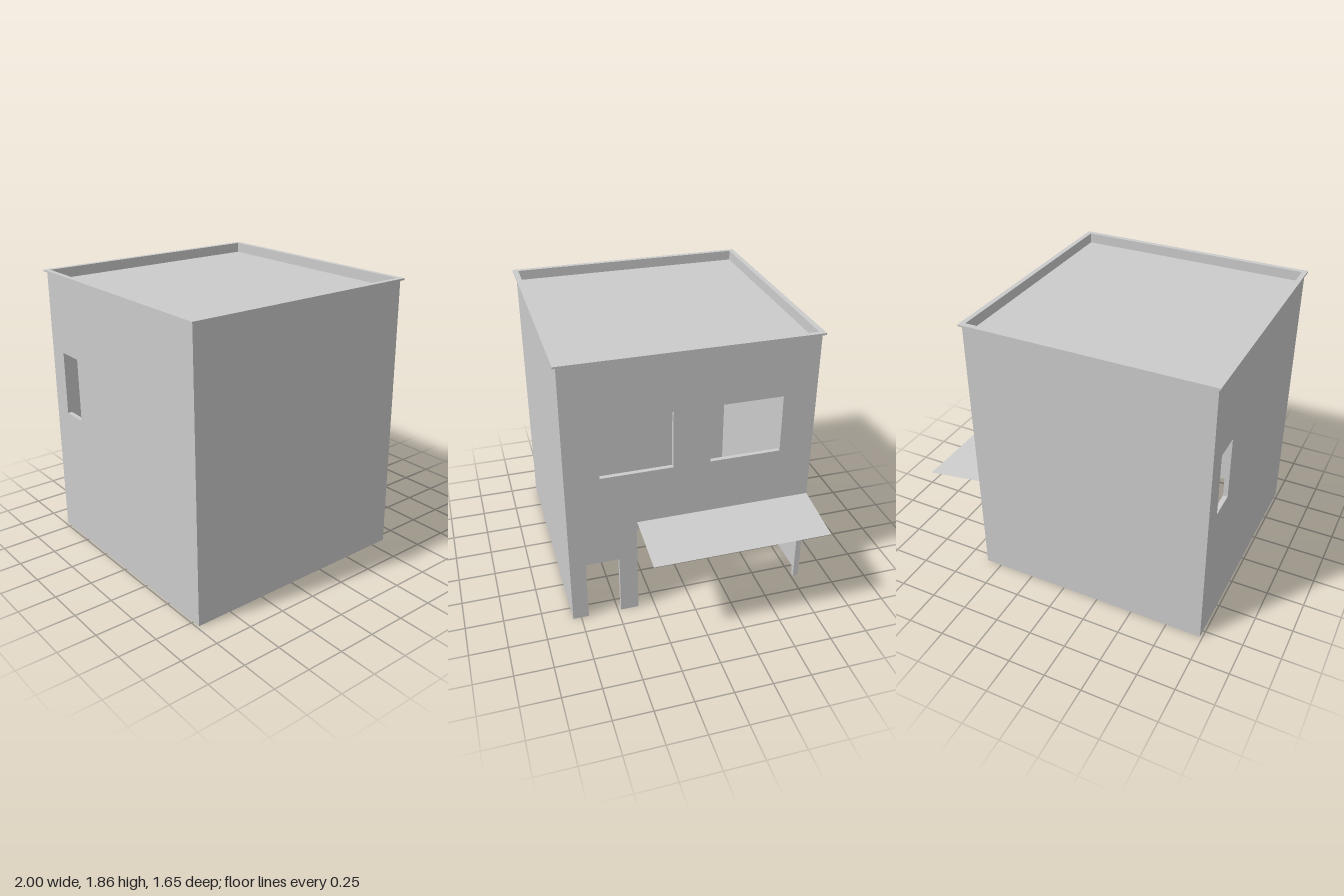
import * as THREE from 'three';

const material = new THREE.MeshStandardMaterial({ color: 0xcccccc, side: THREE.DoubleSide, flatShading: true });
const CX = -0.187, W = 1.594, D = 1.61; // building centre and footprint
const RIM_Y = 1.845, ROOF_Y = 1.79, REVEAL = 0.03;

function mesh(name, geometry) {
  const m = new THREE.Mesh(geometry, material);
  m.name = name;
  return m;
}

// Sheet swept along z from an outline of [x, y] points
function strip(points, z0, z1, closed) {
  const pos = [];
  const count = closed ? points.length : points.length - 1;
  for (let i = 0; i < count; i++) {
    const [ax, ay] = points[i];
    const [bx, by] = points[(i + 1) % points.length];
    pos.push(ax, ay, z0, bx, by, z0, bx, by, z1, ax, ay, z0, bx, by, z1, ax, ay, z1);
  }
  const g = new THREE.BufferGeometry();
  g.setAttribute('position', new THREE.Float32BufferAttribute(pos, 3));
  g.computeVertexNormals();
  return g;
}

function rectangle(u0, u1, v0, v1) {
  return [[u0, v0], [u0, v1], [u1, v1], [u1, v0]];
}

const toVectors = (points) => points.map(([x, y]) => new THREE.Vector2(x, y));

// Wall sheet facing local +z; doors notch the bottom edge, windows are holes
function wall(name, width, doors = [], windows = []) {
  const group = new THREE.Group();
  group.name = name;
  const h = width / 2;
  const outline = [[-h, 0]];
  for (const d of doors) outline.push(...rectangle(...d));
  outline.push([h, 0], [h, RIM_Y], [-h, RIM_Y]);
  const shape = new THREE.Shape(toVectors(outline));
  for (const w of windows) shape.holes.push(new THREE.Path(toVectors(rectangle(...w))));
  group.add(mesh('wallFace', new THREE.ShapeGeometry(shape)));
  for (const d of doors) group.add(mesh('doorReveal', strip(rectangle(...d), 0, -REVEAL, false)));
  for (const w of windows) group.add(mesh('windowReveal', strip(rectangle(...w), 0, -REVEAL, true)));
  return group;
}

export function createModel() {
  const model = new THREE.Group();
  model.name = 'building';

  // Four walls
  const front = wall('frontWall', W);
  front.position.set(CX, 0, D / 2);
  const back = wall('backWall', W);
  back.position.set(CX, 0, -D / 2);
  back.rotation.y = Math.PI;
  const entrance = wall('entranceWall', D,
    [[-0.70, -0.48, 0, 0.43], [-0.36, 0.767, 0, 0.642]],
    [[-0.585, -0.12, 1.07, 1.46], [0.12, 0.585, 1.07, 1.46]]);
  entrance.position.set(CX + W / 2, 0, 0);
  entrance.rotation.y = Math.PI / 2;
  const side = wall('sideWall', D, [], [[-0.665, -0.48, 0.90, 1.325]]);
  side.position.set(CX - W / 2, 0, 0);
  side.rotation.y = -Math.PI / 2;
  model.add(front, back, entrance, side);

  // Sunken flat roof
  const roof = mesh('roof', new THREE.PlaneGeometry(W, D));
  roof.rotation.x = -Math.PI / 2;
  roof.position.set(CX, ROOF_Y, 0);
  model.add(roof);

  // Parapet lining and overhanging rim
  const inner = rectangle(-0.78, 0.78, -0.79, 0.79);
  const parapet = mesh('parapetLining', strip(inner, ROOF_Y, RIM_Y, true));
  const rimShape = new THREE.Shape(toVectors(rectangle(-0.813, 0.813, -0.825, 0.825)));
  rimShape.holes.push(new THREE.Path(toVectors(inner)));
  const rim = mesh('roofRim', new THREE.ExtrudeGeometry(rimShape, { depth: 0.012, bevelEnabled: false }));
  rim.position.y = RIM_Y;
  for (const part of [parapet, rim]) {
    part.rotation.x = -Math.PI / 2;
    part.position.x = CX;
    model.add(part);
  }

  // Thin canopy sloping down and outward over the wide opening
  model.add(mesh('canopy', strip([[CX + W / 2, 0.70], [1.0, 0.642]], 0.357, -0.805, false)));

  return model;
}
